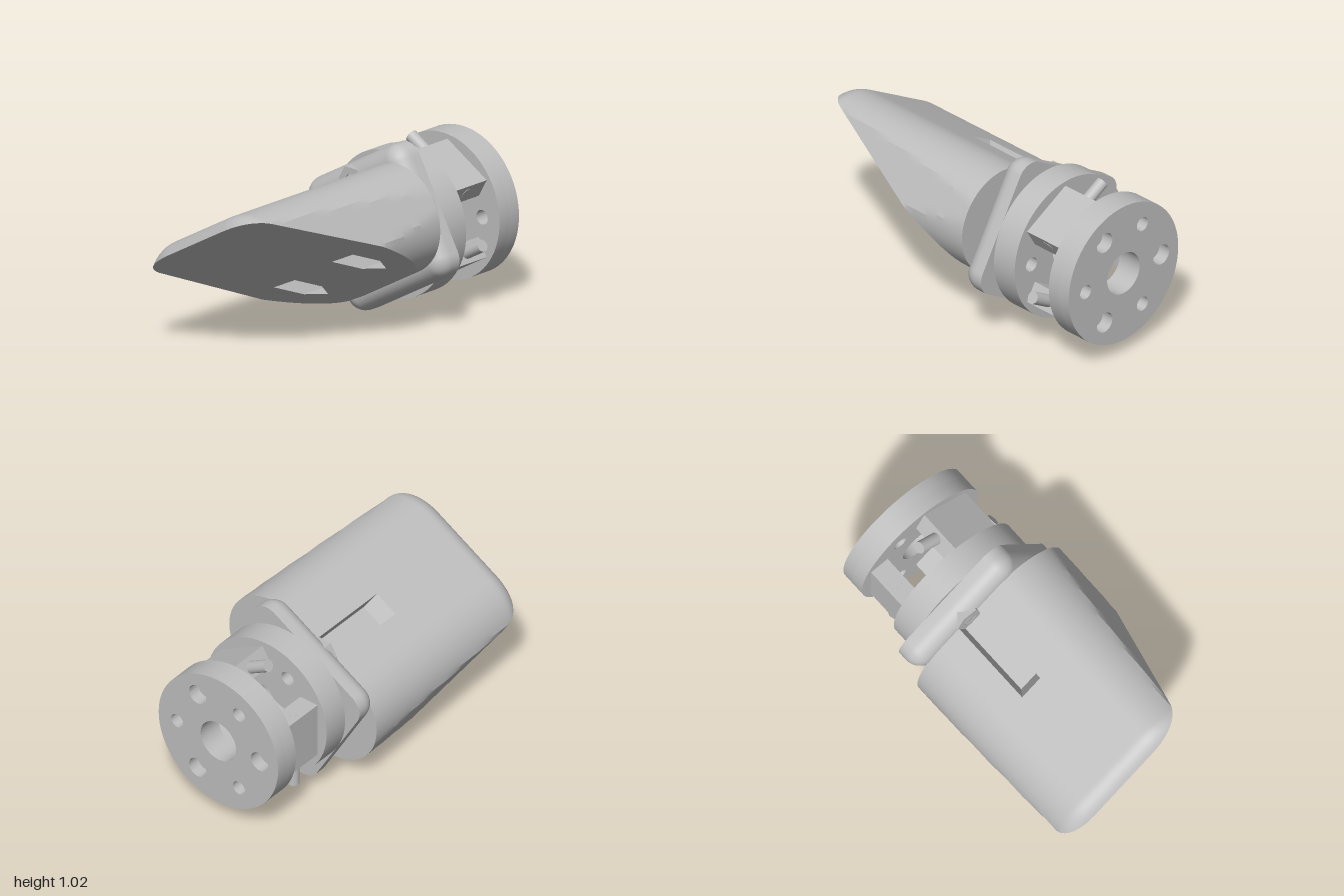
import * as THREE from 'three';
import { toCreasedNormals } from 'three/addons/utils/BufferGeometryUtils.js';

const grey = new THREE.MeshStandardMaterial({ color: 0xbebebe, side: THREE.DoubleSide });
grey.name = 'plain grey';
const RAD = Math.PI / 180;

function add(parent, name, geometry) {
  const mesh = new THREE.Mesh(geometry, grey);
  mesh.name = name;
  parent.add(mesh);
  return mesh;
}

// Skin through rows of [x, y, z] points
function loft(rows, closed = false) {
  const n = rows[0].length, index = [];
  for (let i = 0; i < rows.length - 1; i++) {
    for (let j = 0; j < (closed ? n : n - 1); j++) {
      const a = i * n + j, b = i * n + (j + 1) % n;
      index.push(a, b, b + n, a, b + n, a + n);
    }
  }
  const g = new THREE.BufferGeometry();
  g.setAttribute('position', new THREE.Float32BufferAttribute(rows.flat(2), 3));
  g.setIndex(index);
  return toCreasedNormals(g, 0.3);
}

const shapeOf = (pts) => new THREE.Shape(pts.map((p) => new THREE.Vector2(p[0], p[1])));
const polar = (r, deg) => [r * Math.cos(deg * RAD), r * Math.sin(deg * RAD)];
function circle(x, y, r) {
  return new THREE.Path().absarc(x, y, r, 0, Math.PI * 2, true);
}
function face(shape, z, holes = []) {
  shape.holes.push(...holes);
  return new THREE.ShapeGeometry(shape, 32).translate(0, 0, z);
}

// Rounded rectangle outline: corner centres at (a, b), corner radius r
function roundedRect(a, b, r, steps = 10) {
  const pts = [];
  [[1, 1], [-1, 1], [-1, -1], [1, -1]].forEach(([sx, sy], q) => {
    for (let i = 0; i <= steps; i++) {
      const p = polar(r, q * 90 + (90 * i) / steps);
      pts.push([sx * a + p[0], sy * b + p[1]]);
    }
  });
  return pts;
}

// Finger body: stadium section, tapered ends, slanted underside, rounded tip
const A = 0.24, R = 0.31, FILLET = 0.12, BACK = -0.27, GROOVE = 0.075, GROOVE_END = 0.26;
const slantV = (z) => 0.25 - 0.47 * (1 - z);
const slantZ = (v) => 1 - (0.25 - v) / 0.47;

function stationList() {
  const list = [];
  for (let i = 0; i < 40; i++) list.push([BACK + ((GROOVE_END - BACK) * i) / 40, R]);
  for (let i = 0; i < 30; i++) list.push([GROOVE_END + ((0.895 - GROOVE_END) * i) / 30, R]);
  const end = Math.asin(0.875);
  for (let i = 0; i <= 12; i++) {
    const t = (end * i) / 12;
    list.push([0.895 + FILLET * Math.sin(t), R - FILLET * (1 - Math.cos(t))]);
  }
  return list;
}
function edgeU(z, r) {
  const v = slantV(z);
  return Math.min(0.5315 - 0.056 * z, A + Math.sqrt(Math.max(0, r * r - v * v)));
}
function halfSection([z, r], side) {
  const limit = 0.5315 - 0.056 * z, low = slantV(z), pts = [];
  for (let i = 0; i <= 32; i++) {
    const p = polar(r, -90 + (180 * i) / 32);
    if (p[1] < low) pts.push([side * edgeU(z, r), low, z]);
    else pts.push([side * Math.min(A + p[0], limit), p[1], z]);
  }
  pts.push([side * GROOVE, Math.max(r, low), z]);
  return pts;
}

function buildFinger(parent, bolts) {
  const finger = new THREE.Group();
  finger.name = 'fingerBody';
  parent.add(finger);
  const stations = stationList();
  for (const s of [1, -1]) {
    add(finger, 'bodySide', loft(stations.map((st) => halfSection(st, s))));
    // groove wall
    add(finger, 'grooveWall', loft([
      [[s * GROOVE, 0.22, BACK], [s * GROOVE, 0.22, 0.2]],
      [[s * GROOVE, R, BACK], [s * GROOVE, R, GROOVE_END]]]));
  }
  const across = (v, z, u = GROOVE) => [[u, v, z], [-u, v, z]];
  add(finger, 'topStrip', loft(stations.filter((s) => s[0] >= GROOVE_END - 1e-6)
    .map(([z, r]) => across(Math.max(r, slantV(z)), z))));
  add(finger, 'grooveFloor', loft([across(0.22, BACK), across(0.22, 0.2), across(R, GROOVE_END)]));
  add(finger, 'bodyBottom', loft([across(-R, BACK, A), across(-R, slantZ(-R), A)]));
  add(finger, 'bodyBack', face(shapeOf(roundedRect(A, 0, R, 16)), BACK,
    bolts.map((b) => circle(b[0], b[1], 0.042))));

  // Slanted underside with two nut pockets
  const right = [[A, -R]];
  for (const [z, r] of stations) if (slantV(z) > -R) right.push([edgeU(z, r), slantV(z)]);
  const left = right.map(([u, v]) => [-u, v]).reverse();
  const pockets = bolts.map((b) => [150, 210, 270, 330, 30].map((d) => {
    const p = polar(0.09, d);
    return [b[0] + p[0], b[1] + p[1]];
  }));
  const under = face(shapeOf([...right, ...left]), 0, pockets.map((p) => shapeOf(p)));
  const pos = under.attributes.position;
  for (let i = 0; i < pos.count; i++) pos.setZ(i, slantZ(pos.getY(i)));
  under.computeVertexNormals();
  add(finger, 'slantedUnderside', under);
  pockets.forEach((p, i) => {
    const [x, y] = bolts[i], floor = -0.1;
    add(finger, 'nutPocketWall', loft([
      p.map(([u, v]) => [u, v, slantZ(v)]), p.map(([u, v]) => [u, v, floor])], true));
    add(finger, 'nutPocketFloor', face(shapeOf(p), floor, [circle(x, y, 0.042)]));
    add(finger, 'boltBore', new THREE.CylinderGeometry(0.042, 0.042, 0.32, 24, 1, true)
      .rotateX(Math.PI / 2).translate(x, y, -0.26));
  });
}

// Flange: rounded plate with a soft front edge
function buildFlange(parent, bolts) {
  const flange = new THREE.Group();
  flange.name = 'flange';
  parent.add(flange);
  const a = 0.315, b = 0.286, r = 0.105, f = 0.1, rows = [];
  rows.push(roundedRect(a, b, r).map((p) => [...p, -0.42]));
  for (let i = 0; i <= 10; i++) {
    const p = polar(f, i * 9);
    rows.push(roundedRect(a, b, r - f + p[0]).map((q) => [...q, -0.365 + p[1]]));
  }
  add(flange, 'flangeRim', loft(rows, true));
  const holes = () => bolts.map((p) => circle(p[0], p[1], 0.042));
  add(flange, 'flangeFront', face(shapeOf(roundedRect(a, b, r - f)), -0.265, holes()));
  add(flange, 'flangeBack', face(shapeOf(roundedRect(a, b, r)), -0.42, holes()));
  // hexagonal nut seat above the groove
  const hex = shapeOf([30, 90, 150, 210, 270, 330].map((d) => polar(0.09, d)));
  hex.holes.push(circle(0, 0, 0.042));
  add(flange, 'nutSeat', new THREE.ExtrudeGeometry(hex, { depth: 0.09, bevelEnabled: false, curveSegments: 12 })
    .translate(0, 0.29, -0.352));
}

// Round coupling plate with a centre bore and six holes
function disc(parent, name, z, depth, wideRadius) {
  const shape = new THREE.Shape().absarc(0, 0, 0.42, 0, Math.PI * 2, false);
  shape.holes.push(circle(0, 0, 0.125));
  for (let k = 0; k < 6; k++) {
    const p = polar(0.29, 30 + 60 * k);
    shape.holes.push(circle(p[0], p[1], k % 2 ? 0.042 : wideRadius));
  }
  add(parent, name, toCreasedNormals(new THREE.ExtrudeGeometry(shape,
    { depth, bevelEnabled: false, curveSegments: 36 }), 0.5).translate(0, 0, z));
}

export function createModel() {
  const model = new THREE.Group();
  model.name = 'gripperFinger';
  const tilted = new THREE.Group();
  tilted.name = 'tiltedAssembly';
  tilted.rotation.z = 30 * RAD;
  tilted.position.y = 0.517;
  model.add(tilted);

  const bolts = [polar(0.29, -30), polar(0.29, 210)];
  buildFinger(tilted, bolts);
  buildFlange(tilted, bolts);

  disc(tilted, 'frontDisc', -0.58, 0.16, 0.035);
  // back disc in two layers, giving three counterbored holes
  disc(tilted, 'backDiscInner', -0.925, 0.08, 0.035);
  disc(tilted, 'backDiscOuter', -1, 0.075, 0.06);

  // Three spacer blocks with cross pins
  for (let k = 0; k < 3; k++) {
    const spacer = new THREE.Group();
    spacer.name = 'spacer';
    spacer.rotation.z = (30 + 120 * k) * RAD;
    tilted.add(spacer);
    add(spacer, 'spacerBlock', new THREE.BoxGeometry(0.12, 0.34, 0.265).translate(0.295, 0, -0.7125));
    add(spacer, 'crossPin', new THREE.CylinderGeometry(0.035, 0.035, 0.48, 24).translate(0.295, 0.068, -0.715));
  }
  return model;
}
